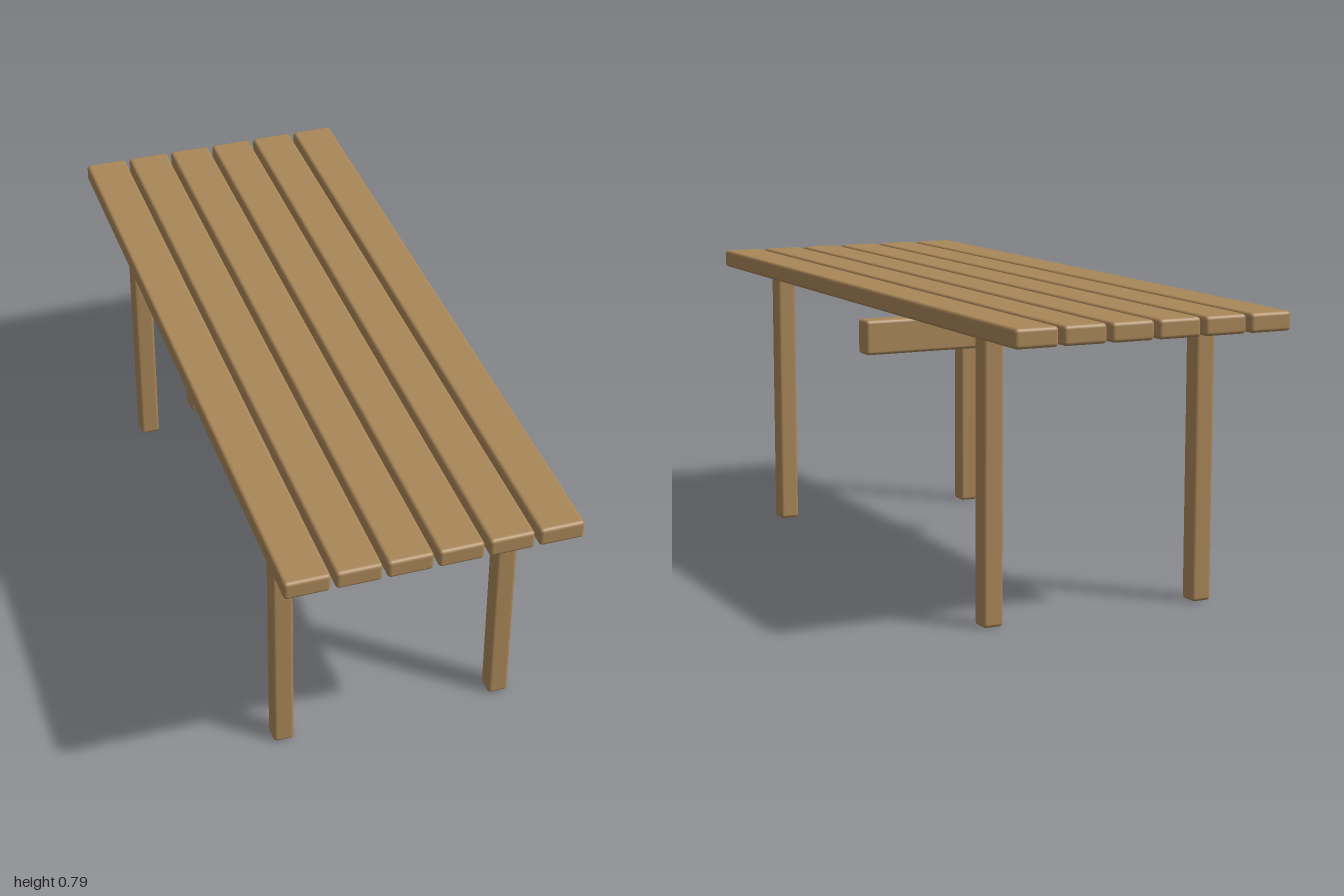
import * as THREE from 'three';
import { RoundedBoxGeometry } from 'three/addons/geometries/RoundedBoxGeometry.js';

export function createModel() {
  const table = new THREE.Group();
  table.name = 'slattedTable';
  const wood = new THREE.MeshStandardMaterial({ color: 0xa98658 });
  wood.name = 'wood';

  // Softly rounded timber, placed by its centre
  const timber = (name, size, position, radius = 0.01) => {
    const mesh = new THREE.Mesh(new RoundedBoxGeometry(...size, 3, radius), wood);
    mesh.name = name;
    mesh.position.set(...position);
    table.add(mesh);
  };

  // Six slats along the length of the top
  const slats = 6, pitch = 0.1295, topY = 0.793, thickness = 0.05;
  for (let i = 0; i < slats; i++) {
    const x = (i - (slats - 1) / 2) * pitch;
    timber('topSlat', [0.117, thickness, 2], [x, topY - thickness / 2, 0]);
  }

  // Four square legs, their tops set slightly into the outer slats
  const legHeight = 0.755;
  for (const x of [-0.303, 0.303]) {
    for (const z of [-0.702, 0.702]) {
      timber(z > 0 ? 'frontLeg' : 'backLeg', [0.056, legHeight, 0.056], [x, legHeight / 2, z]);
    }
  }

  // Cross rail below the middle of the top
  timber('crossRail', [0.69, 0.096, 0.06], [0, 0.645, 0]);

  return table;
}
